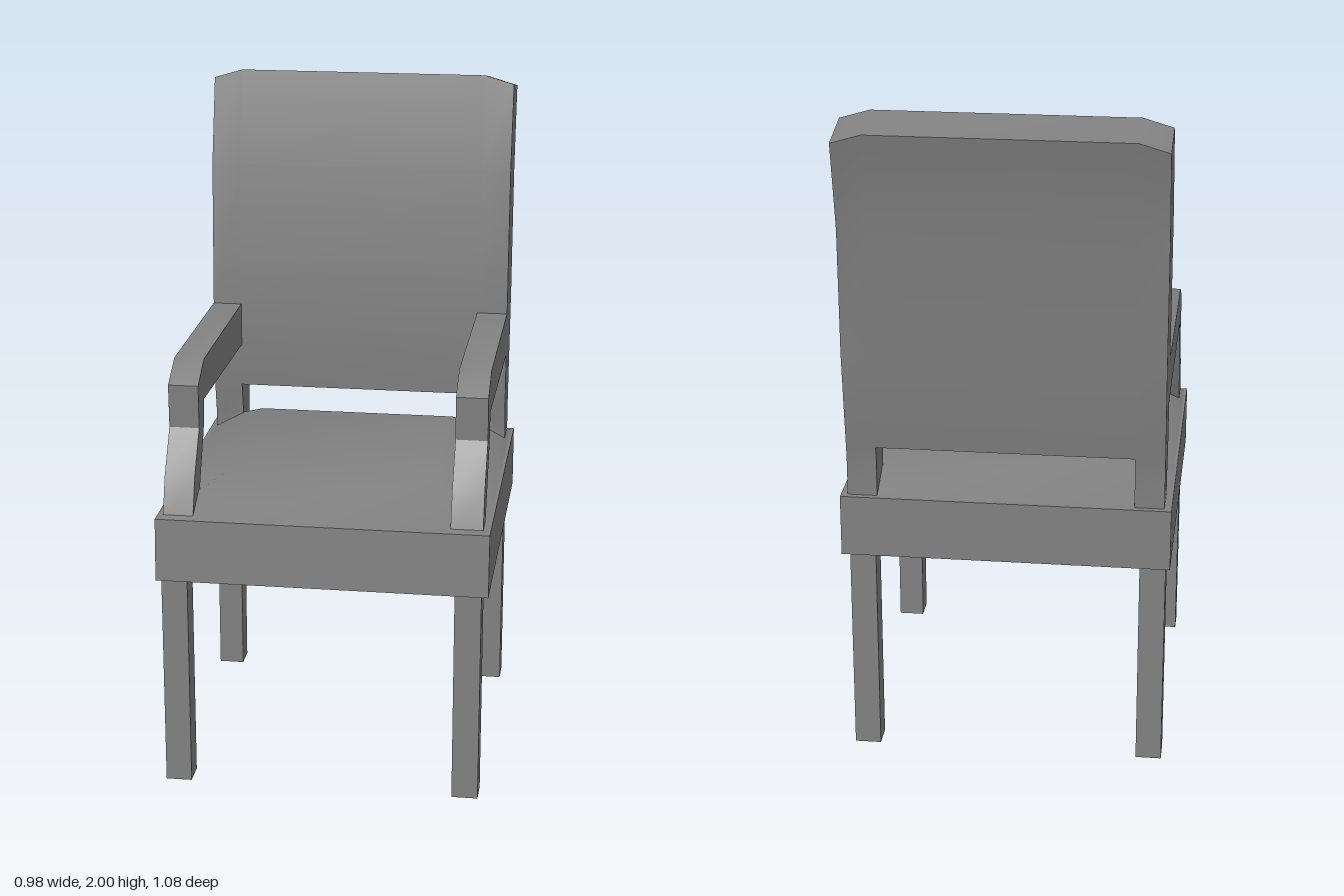
import * as THREE from 'three';
import { mergeGeometries, toCreasedNormals } from 'three/addons/utils/BufferGeometryUtils.js';

const material = new THREE.MeshStandardMaterial({ color: 0x808080 });
const CREASE = THREE.MathUtils.degToRad(33);

function addPart(group, name, geometry) {
  const mesh = new THREE.Mesh(geometry, material);
  mesh.name = name;
  group.add(mesh);
}

// Side profile given as [z, y] points, extruded across x from x0 to x1
function sideProfile(points, x0, x1) {
  const shape = new THREE.Shape(points.map(([z, y]) => new THREE.Vector2(z, y)));
  const geometry = new THREE.ExtrudeGeometry(shape, { depth: x1 - x0, bevelEnabled: false });
  return geometry.rotateY(-Math.PI / 2).translate(x1, 0, 0);
}

function box(x0, x1, y0, y1, z0, z1) {
  return new THREE.BoxGeometry(x1 - x0, y1 - y0, z1 - z0)
    .translate((x0 + x1) / 2, (y0 + y1) / 2, (z0 + z1) / 2);
}

// Domed cushion: a low frustum with shared vertices for soft shading
function cushionGeometry() {
  const ring = (x, y, zBack, zFront) => [-x, y, zFront, x, y, zFront, x, y, zBack, -x, y, zBack];
  const positions = [...ring(0.48, 0.84, -0.43, 0.525), ...ring(0.305, 0.935, -0.25, 0.35)];
  const index = [4, 5, 6, 4, 6, 7];
  for (let i = 0; i < 4; i++) {
    const j = (i + 1) % 4;
    index.push(i, j, j + 4, i, j + 4, i + 4);
  }
  const geometry = new THREE.BufferGeometry();
  geometry.setAttribute('position', new THREE.Float32BufferAttribute(positions, 3));
  geometry.setIndex(index);
  geometry.computeVertexNormals();
  return geometry;
}

// Back: centre panel between two curved posts, softly shaded along the curve
function backGeometry() {
  const front = [[-0.3, 0.997], [-0.3, 1.27], [-0.32, 1.715], [-0.385, 2]];
  const rear = [[-0.54, 1.97], [-0.48, 1.68], [-0.47, 1.3], [-0.432, 0.997]];
  const postProfile = [[-0.32, 0.84], [-0.32, 0.89], ...front, ...rear,
    [-0.427, 0.96], [-0.427, 0.84]];
  const posts = [[-0.468, -0.38], [0.38, 0.468]].map(([x0, x1]) => {
    const post = sideProfile(postProfile, x0, x1);
    // Cut down the outer top corner
    const p = post.attributes.position;
    for (let i = 0; i < p.count; i++) {
      if (p.getY(i) > 1.9 && Math.abs(p.getX(i)) > 0.42) p.setY(i, p.getY(i) - 0.026);
    }
    return post;
  });
  const panel = sideProfile([...front, ...rear], -0.38, 0.38);
  return toCreasedNormals(mergeGeometries([panel, ...posts]), CREASE);
}

export function createModel() {
  const chair = new THREE.Group();
  chair.name = 'armchair';

  // Seat frame, its front face leaning back slightly
  addPart(chair, 'seatFrame', sideProfile(
    [[-0.442, 0.652], [0.54, 0.652], [0.53, 0.84], [-0.442, 0.84]], -0.489, 0.489));
  addPart(chair, 'seatCushion', cushionGeometry());
  addPart(chair, 'back', backGeometry());

  // Armrest and its bent support in one piece
  const armProfile = [[-0.32, 1.265], [0.305, 1.265], [0.4, 1.21], [0.395, 1.08],
    [0.475, 0.955], [0.513, 0.84], [0.43, 0.84], [0.4, 0.905], [0.33, 1.055],
    [0.32, 1.145], [-0.32, 1.13]];

  for (const side of [
    { label: 'left', arm: [0.374, 0.468], leg: [0.39, 0.468] },
    { label: 'right', arm: [-0.468, -0.379], leg: [-0.475, -0.398] },
  ]) {
    addPart(chair, side.label + 'Arm', toCreasedNormals(sideProfile(armProfile, ...side.arm), CREASE));
    addPart(chair, side.label + 'FrontLeg', box(...side.leg, 0, 0.66, 0.447, 0.525));
    addPart(chair, side.label + 'BackLeg', box(...side.leg, 0, 0.66, -0.417, -0.34));
  }
  return chair;
}
